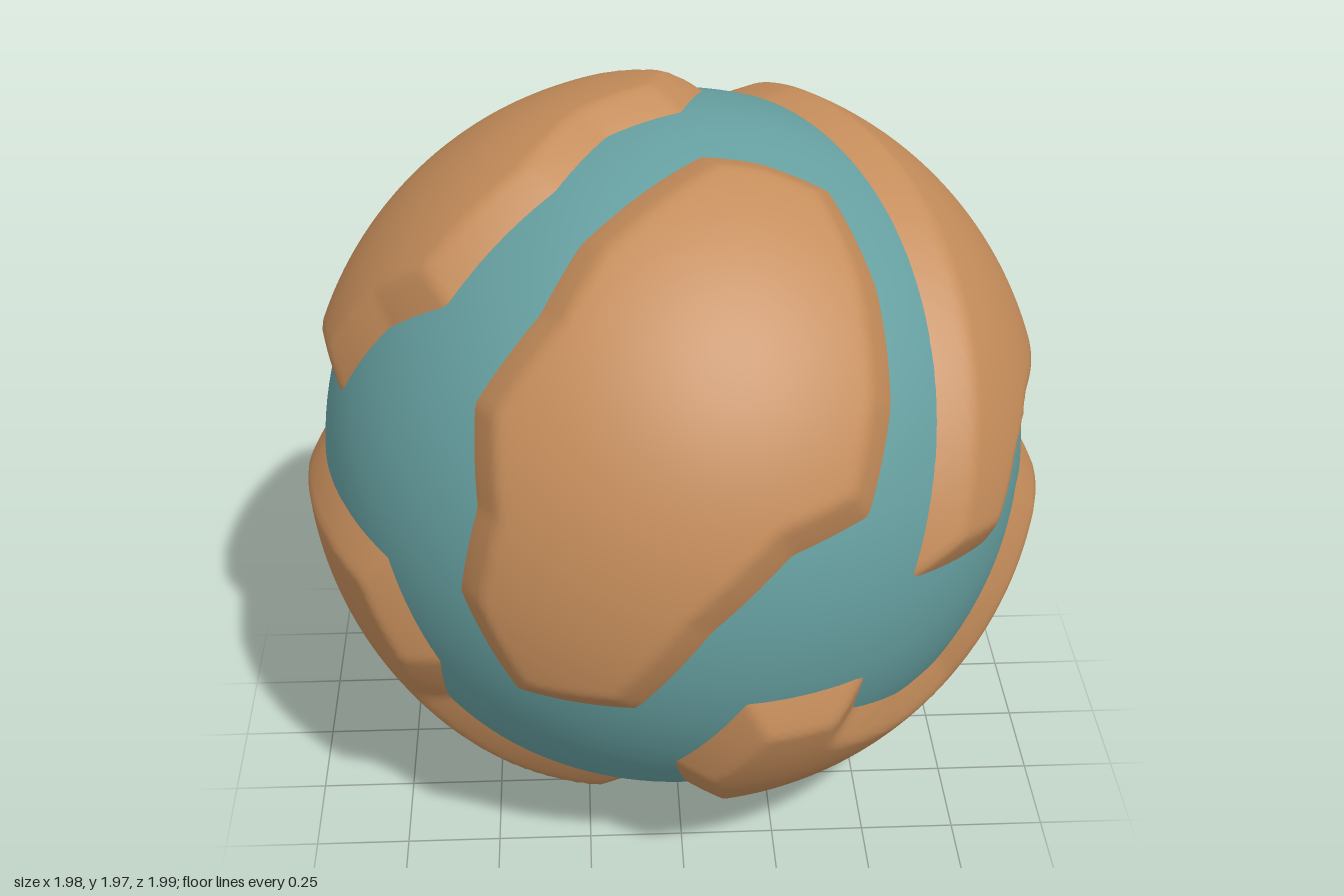
import * as THREE from 'three';
import { mergeVertices } from 'three/addons/utils/BufferGeometryUtils.js';

const SEA = 0.94, LAND = 0.994, SLOPE = 0.58;

// Returns a function that lays flat (u, v) points onto the sphere, facing a direction
function facing(azimuth, elevation) {
  const a = THREE.MathUtils.degToRad(azimuth), e = THREE.MathUtils.degToRad(elevation);
  const right = new THREE.Vector3(Math.cos(a), 0, -Math.sin(a));
  const out = new THREE.Vector3(Math.sin(a) * Math.cos(e), Math.sin(e), Math.cos(a) * Math.cos(e));
  const up = out.clone().cross(right);
  return (...pairs) => pairs.map(([u, v]) => {
    const d = Math.sqrt(Math.max(0, SEA * SEA - u * u - v * v));
    return new THREE.Vector3().addScaledVector(right, u).addScaledVector(up, v)
      .addScaledVector(out, d).normalize();
  });
}
const front = facing(0, 0), side = facing(90, 0), top = facing(0, 90);
const backLeft = facing(-145, 25), backUnder = facing(140, -30);
const at = (x, y, z) => new THREE.Vector3(x, y, z).normalize();

// Coastlines, each a closed loop of directions
const coasts = {
  frontContinent: [
    ...top([0.06, -0.22], [0.2, -0.22], [0.37, -0.25], [0.47, -0.47]),
    ...front([0.49, 0.45], [0.43, 0.23], [0.24, 0.18], [0.05, 0], [-0.13, -0.25], [-0.42, -0.25],
      [-0.55, 0.02], [-0.5, 0.25], [-0.5, 0.47]),
    ...top([-0.34, -0.57], [-0.24, -0.45]),
  ],
  upperLeftContinent: [
    ...top([0.22, 0.68], [0.15, 0.47], [0.25, 0.27], [0.42, 0], [0.52, -0.2], [0.6, -0.45]),
    ...side([-0.7, 0.2], [-0.76, 0.02], [-0.54, -0.02], [-0.42, 0.13], [-0.3, 0.2], [0, 0.2],
      [0.13, 0.18], [0.28, -0.02], [0.56, -0.01], [0.65, 0.2], [0.7, 0.48]),
  ],
  lowerLeftContinent: [
    ...front([0.44, -0.25], [0.14, -0.25], [-0.03, -0.5], [0.02, -0.75], [0.1, -0.87]),
    ...backUnder([-0.235, -0.781], [-0.344, -0.372], [-0.4, -0.06]),
    ...side([0.15, -0.25], [0.02, 0], [-0.3, 0], [-0.45, -0.25], [-0.52, -0.4], [-0.62, -0.43],
      [-0.75, -0.38]),
  ],
  backContinent: [
    ...top([-0.6, 0.64], [-0.35, 0.55], [-0.1, 0.58], [0.2, 0.68], [0.28, 0.78]),
    ...side([0.8, 0.31], [0.79, 0.18], [0.685, -0.06], [0.55, -0.3], [0.444, -0.52], [0.417, -0.62]),
    ...backUnder([0.1, -0.275], [0.31, -0.055], [0.56, -0.06], [0.79, -0.3]),
    ...backLeft([0.17, -0.54], [0.31, -0.37]),
  ],
  upperRightContinent: [
    ...top([-0.69, 0.52], [-0.47, 0.4], [-0.35, 0.38], [-0.13, 0.41], [0.09, 0.23], [0.02, 0],
      [-0.17, -0.1], [-0.3, -0.27], [-0.57, -0.42], [-0.72, -0.32]),
    ...front([-0.86, 0.29]),
    ...backLeft([0.79, 0.07], [0.64, -0.09], [0.445, -0.125]),
  ],
  lowerRightContinent: [
    ...front([-0.74, 0], [-0.62, -0.27], [-0.61, -0.46], [-0.41, -0.65], [-0.14, -0.81], [-0.04, -0.92]),
    at(-0.12, -0.93, 0.08), at(-0.45, -0.82, 0),
    ...backLeft([0.54, -0.75], [0.43, -0.57], [0.58, -0.31], [0.8, -0.17]),
    ...front([-0.86, 0.03]),
  ],
  bottomContinent: [
    ...backUnder([-0.06, -0.69], [0.18, -0.48], [0.35, -0.33], [0.6, -0.335], [0.71, -0.5]),
    at(-0.64, -0.5, -0.48), at(-0.6, -0.62, -0.33), at(-0.45, -0.8, -0.2),
    at(-0.15, -0.92, -0.06), at(0.13, -0.93, -0.02),
  ],
};

// Distance from the coast along the sphere: positive inland, negative at sea
function inland(p, coast, centre) {
  if (p.dot(centre) < -0.1) return -1;
  const ab = new THREE.Vector3(), near = new THREE.Vector3();
  let turn = 0, best = Infinity;
  coast.forEach((a, i) => {
    const b = coast[(i + 1) % coast.length];
    turn += Math.atan2(near.crossVectors(a, b).dot(p), a.dot(b) - a.dot(p) * b.dot(p));
    ab.subVectors(b, a);
    const t = THREE.MathUtils.clamp(near.subVectors(p, a).dot(ab) / ab.lengthSq(), 0, 1);
    best = Math.min(best, near.copy(a).addScaledVector(ab, t).normalize().distanceTo(p));
  });
  return Math.abs(turn) > Math.PI ? best : -best;
}

function unitSphere(detail) {
  const g = new THREE.IcosahedronGeometry(1, detail);
  g.deleteAttribute('uv');
  g.deleteAttribute('normal');
  return mergeVertices(g, 1e-4);
}

// A raised plateau with sloping shores that dip just under the sea
function continentGeometry(base, coast) {
  const centre = coast.reduce((s, p) => s.add(p), new THREE.Vector3()).normalize();
  const g = base.clone(), pos = g.attributes.position, p = new THREE.Vector3();
  const radius = [];
  for (let i = 0; i < pos.count; i++) {
    p.fromBufferAttribute(pos, i).normalize();
    radius[i] = THREE.MathUtils.clamp(SEA + SLOPE * inland(p, coast, centre), SEA - 0.03, LAND);
    p.multiplyScalar(radius[i]);
    pos.setXYZ(i, p.x, p.y, p.z);
  }
  g.computeVertexNormals();
  const kept = [], index = base.index.array;
  for (let i = 0; i < index.length; i += 3) {
    const tri = [index[i], index[i + 1], index[i + 2]];
    if (tri.some((v) => radius[v] > SEA - 0.004)) kept.push(...tri);
  }
  g.setIndex(kept);
  return g;
}

export function createModel() {
  const seaBlue = new THREE.MeshStandardMaterial({ color: 0x669fa0 });
  seaBlue.name = 'seaBlue';
  const earthBrown = new THREE.MeshStandardMaterial({ color: 0xc48c5a });
  earthBrown.name = 'earthBrown';

  const planet = new THREE.Group();
  planet.name = 'planet';
  planet.position.y = 1;

  // Ocean ball
  const sea = new THREE.Mesh(unitSphere(30).scale(SEA, SEA, SEA), seaBlue);
  sea.geometry.computeVertexNormals();
  sea.name = 'ocean';
  planet.add(sea);

  // Continents
  const base = unitSphere(54);
  for (const [name, coast] of Object.entries(coasts)) {
    const land = new THREE.Mesh(continentGeometry(base, coast), earthBrown);
    land.name = name;
    planet.add(land);
  }

  const model = new THREE.Group();
  model.name = 'model';
  model.add(planet);
  return model;
}
